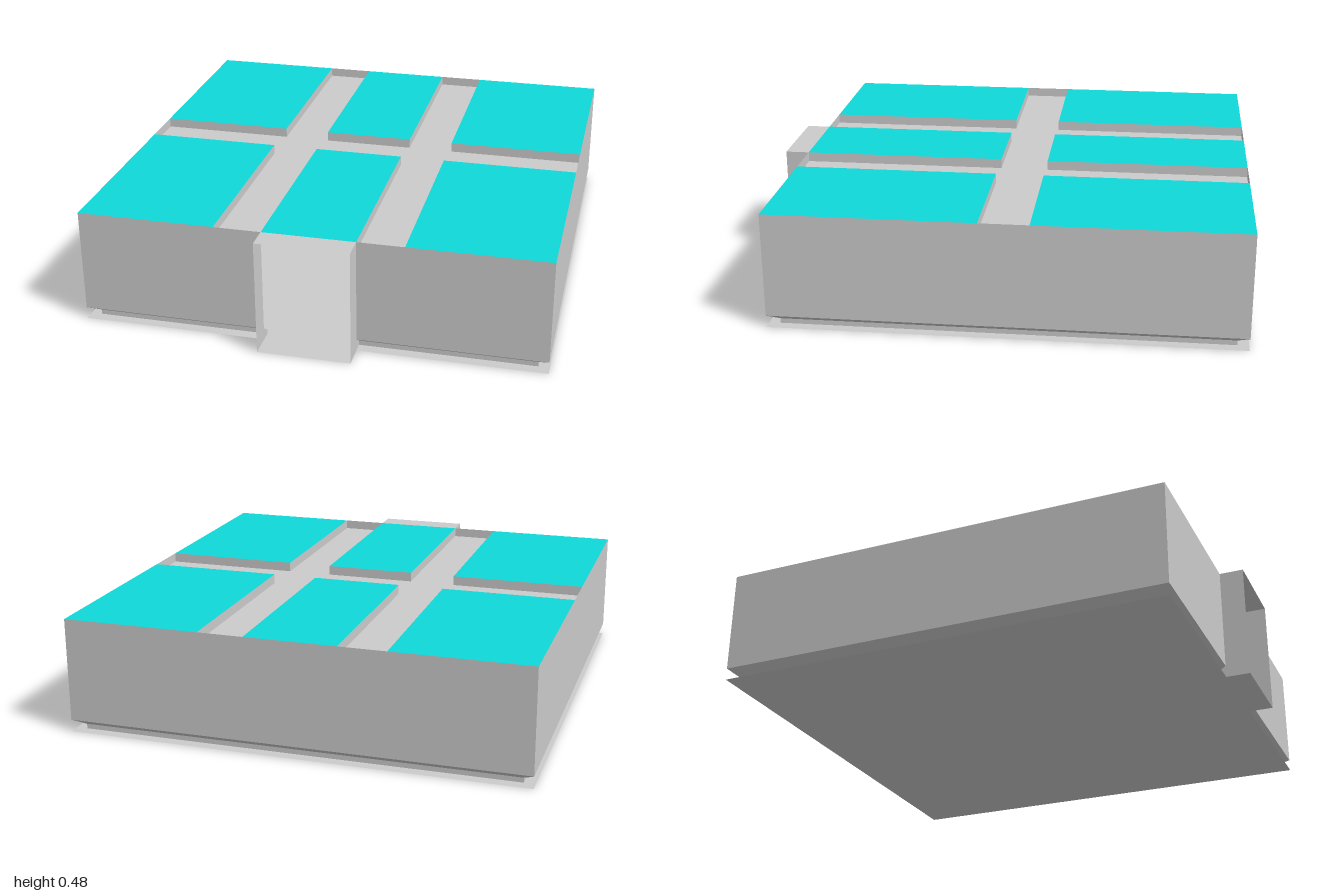
import * as THREE from 'three';

// Hollow thin-walled block: all surfaces are flat panels
const X = 0.95, BACK = -1, FRONT = 0.9, TAB = 1, TOP = 0.48, GROOVE = 0.44, DOOR = 0.19;

const grey = new THREE.MeshStandardMaterial({ color: 0xcccccc, side: THREE.DoubleSide });
const cyan = new THREE.MeshStandardMaterial({ color: 0x10d8d8, side: THREE.DoubleSide });

// One mesh from a list of quads (corners counter-clockwise seen from outside)
function panels(name, quads, material = grey) {
  const pos = quads.flatMap(([a, b, c, d]) => [a, b, c, a, c, d]).flat();
  const geo = new THREE.BufferGeometry();
  geo.setAttribute('position', new THREE.Float32BufferAttribute(pos, 3));
  geo.computeVertexNormals();
  const mesh = new THREE.Mesh(geo, material);
  mesh.name = name;
  return mesh;
}

// Horizontal rectangle facing up
const level = (x0, x1, z0, z1, y) => [[x0, y, z1], [x1, y, z1], [x1, y, z0], [x0, y, z0]];
const flip = (quad) => [...quad].reverse();

// Outer walls: bands between (height, inset) rings, open at the front doorway
function wallQuads() {
  const rings = [[0, 0.045], [0.02, 0.045], [0.05, 0], [TOP, 0]];
  const quads = [];
  for (let i = 0; i < rings.length - 1; i++) {
    const [lo, hi] = [rings[i], rings[i + 1]].map(([y, n]) => ({ y, x: X - n, f: FRONT - n, b: BACK + n }));
    quads.push(
      [[lo.x, lo.y, lo.f], [lo.x, lo.y, lo.b], [hi.x, hi.y, hi.b], [hi.x, hi.y, hi.f]],
      [[-lo.x, lo.y, lo.b], [-lo.x, lo.y, lo.f], [-hi.x, hi.y, hi.f], [-hi.x, hi.y, hi.b]],
      [[lo.x, lo.y, lo.b], [-lo.x, lo.y, lo.b], [-hi.x, hi.y, hi.b], [hi.x, hi.y, hi.b]],
      [[-lo.x, lo.y, lo.f], [-DOOR, lo.y, lo.f], [-DOOR, hi.y, hi.f], [-hi.x, hi.y, hi.f]],
      [[DOOR, lo.y, lo.f], [lo.x, lo.y, lo.f], [hi.x, hi.y, hi.f], [DOOR, hi.y, hi.f]],
    );
  }
  return quads;
}

export function createModel() {
  const model = new THREE.Group();
  model.name = 'hollowBlock';
  const columns = [[-X, -0.385], [-DOOR, DOOR], [0.38, X]];
  const rows = [[BACK, -0.15], [0.05, FRONT]];

  model.add(panels('outerWalls', wallQuads()));

  // Floor, reaching out under the doorway
  model.add(panels('floor', [
    flip(level(-X, X, BACK, FRONT, 0)),
    flip(level(-DOOR, DOOR, FRONT, TAB, 0)),
  ]));

  // Sunken grooves between the raised pads
  const grooves = [[columns[0][1], -DOOR], [DOOR, columns[2][0]]]
    .map(([a, b]) => level(a, b, BACK, FRONT, GROOVE));
  for (const [a, b] of columns) grooves.push(level(a, b, rows[0][1], rows[1][0], GROOVE));
  model.add(panels('grooveFloor', grooves));

  // Raised pads: coloured top and grey steps down to the grooves
  const steps = [];
  for (const [x0, x1] of columns) {
    for (const [z0, z1] of rows) {
      model.add(panels('padTop', [level(x0, x1, z0, z1, TOP)], cyan));
      if (x0 > -X) steps.push([[x0, GROOVE, z0], [x0, GROOVE, z1], [x0, TOP, z1], [x0, TOP, z0]]);
      if (x1 < X) steps.push([[x1, GROOVE, z1], [x1, GROOVE, z0], [x1, TOP, z0], [x1, TOP, z1]]);
      if (z0 > BACK) steps.push([[x1, GROOVE, z0], [x0, GROOVE, z0], [x0, TOP, z0], [x1, TOP, z0]]);
      if (z1 < FRONT) steps.push([[x0, GROOVE, z1], [x1, GROOVE, z1], [x1, TOP, z1], [x0, TOP, z1]]);
    }
  }
  model.add(panels('padSteps', steps));

  // Doorway porch: roof and two cheeks, open at the front
  model.add(panels('doorwayRoof', [level(-DOOR, DOOR, FRONT, TAB, TOP)]));
  for (const s of [1, -1]) {
    const x = s * DOOR;
    const cheek = [
      [[x, 0, TAB], [x, 0.05, FRONT], [x, TOP, FRONT], [x, TOP, TAB]],
      [[x, 0, TAB], [x, 0, FRONT - 0.045], [x, 0.02, FRONT - 0.045], [x, 0.05, FRONT]],
    ];
    model.add(panels(s > 0 ? 'doorwayLeftCheek' : 'doorwayRightCheek', s > 0 ? cheek : cheek.map(flip)));
  }
  return model;
}
